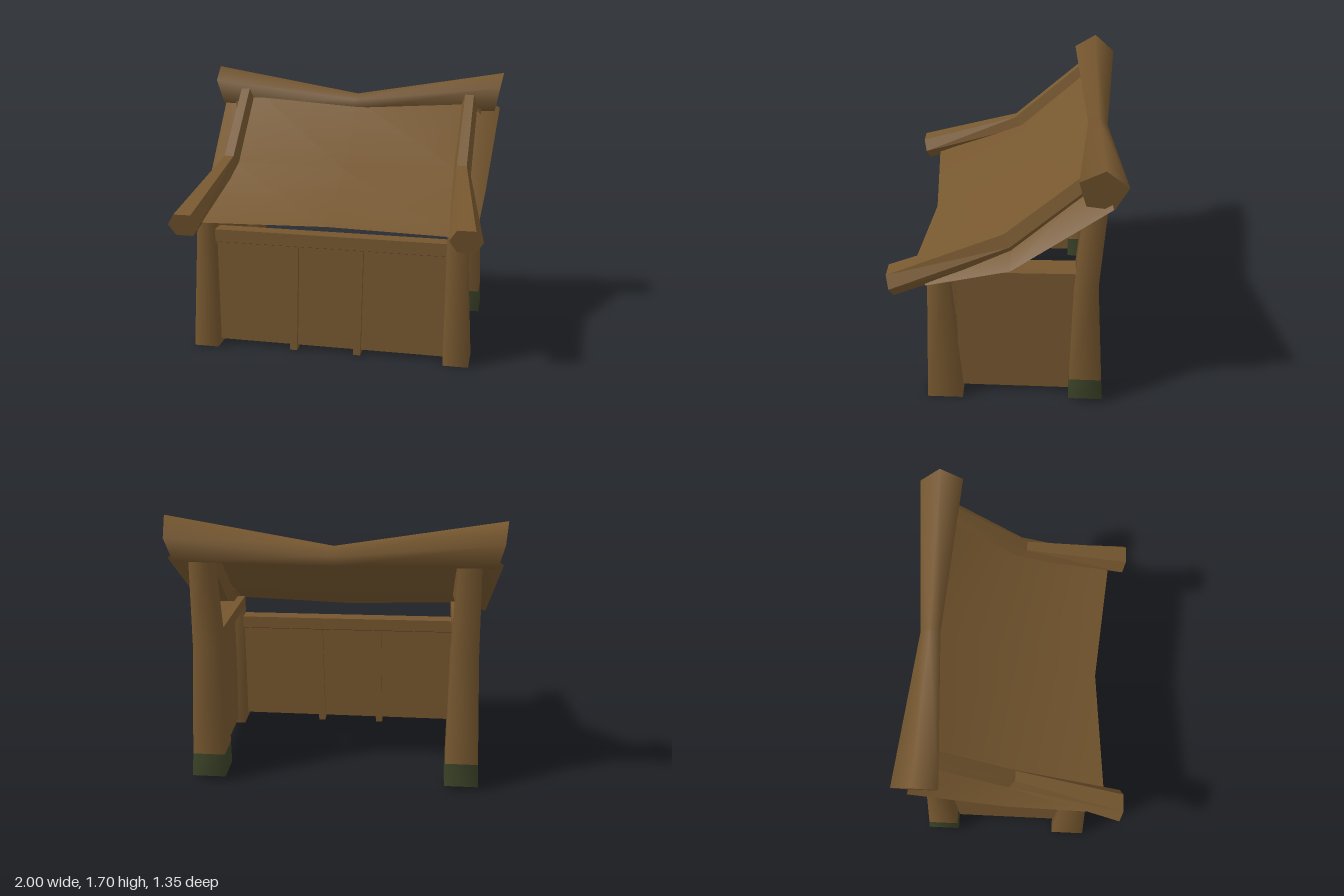
import * as THREE from 'three';

const material = (name, color) => {
  const m = new THREE.MeshStandardMaterial({ color, side: THREE.DoubleSide });
  m.name = name;
  return m;
};

// Skin rows of points; closed rows become tubes, open rows become sheets
function loft(rows, closed, flat) {
  const n = rows[0].length, index = [];
  for (let r = 0; r < rows.length - 1; r++) {
    for (let i = 0; i < (closed ? n : n - 1); i++) {
      const a = r * n + i, b = r * n + (i + 1) % n;
      index.push(a, b, b + n, a, b + n, a + n);
    }
  }
  let g = new THREE.BufferGeometry();
  g.setAttribute('position', new THREE.Float32BufferAttribute(rows.flat(2), 3));
  g.setIndex(index);
  if (flat) g = g.toNonIndexed();
  g.computeVertexNormals();
  return g;
}

// Flat end face of a convex ring
function cap(ring, reverse) {
  const g = new THREE.BufferGeometry(), index = [];
  for (let i = 1; i < ring.length - 1; i++) {
    index.push(...(reverse ? [0, i + 1, i] : [0, i, i + 1]));
  }
  g.setAttribute('position', new THREE.Float32BufferAttribute(ring.flat(), 3));
  g.setIndex(index);
  g.computeVertexNormals();
  return g;
}

// Horizontal four-cornered ring
const ring = (y, x0, x1, z0, z1) => [[x0, y, z0], [x0, y, z1], [x1, y, z1], [x1, y, z0]];
const flip = (s, rows) => rows.map((row) => row.map(([x, y, z]) => [s * x, y, z]));

export function createModel() {
  const model = new THREE.Group();
  const wood = material('brown wood', 0x76572f);
  const moss = material('moss green', 0x3a4227);
  const red = material('dark red', 0x66242f);

  const add = (name, geometry, mat = wood) => {
    const mesh = new THREE.Mesh(geometry, mat);
    mesh.name = name;
    model.add(mesh);
    return mesh;
  };
  const box = (name, w, h, d, x, y, z, mat) => {
    const mesh = add(name, new THREE.BoxGeometry(w, h, d), mat);
    mesh.position.set(x, y, z);
    return mesh;
  };

  for (const s of [-1, 1]) {
    const side = s > 0 ? 'left' : 'right';

    // Tapered front posts, open underneath
    const front = flip(s, [ring(0, 0.73, 0.89, 0.26, 0.48), ring(0.9, 0.735, 0.845, 0.335, 0.45)]);
    add(side + 'FrontPost', loft(front, true));
    add(side + 'FrontPostTop', cap(front[1], s < 0));

    // Tall back posts with a mossy foot
    const foot = ring(0.178, 0.692, 0.894, -0.598, -0.402);
    add(side + 'BackPostFoot', loft(flip(s, [ring(0.03, 0.69, 0.9, -0.61, -0.4), foot]), true), moss);
    add(side + 'BackPost', loft(flip(s, [
      foot,
      ring(0.87, 0.7, 0.87, -0.55, -0.41),
      ring(1.5, 0.735, 0.86, -0.585, -0.455),
    ]), true));

    // Side wall, with a rail whose underside is red
    box(side + 'Wall', 0.02, 0.84, 0.74, s * 0.79, 0.45, -0.08);
    const rail = flip(s, [0.36, -0.43].map((z) => [
      [0.72, 0.86, z], [0.72, z > 0 ? 0.93 : 0.945, z], [0.86, z > 0 ? 0.935 : 0.945, z], [0.86, 0.86, z],
    ]));
    add(side + 'Rail', loft(rail, false, true));
    rail.forEach((r, i) => add(side + 'RailEnd', cap(r, i > 0)));
    add(side + 'RailUnderside', loft(flip(s, [0.36, -0.43].map((z) => [
      [0.72, 0.86, z], [0.79, 0.826, z], [0.86, 0.86, z],
    ])), false, true), red);

    // Bent six-sided rafter: centre, width, height and tilt of each section
    const rafter = flip(s, [
      [0.862, 0.87, 0.66, 0.2, 0.145, 0.25],
      [0.775, 1.1, -0.035, 0.115, 0.16, 0.5],
      [0.782, 1.53, -0.5, 0.105, 0.14, 0.75],
    ].map(([x, y, z, w, h, tilt]) => [[-1, 0], [-0.55, 1], [0.55, 1], [1, 0], [0.55, -1], [-0.55, -1]]
      .map(([u, v]) => [
        x + u * w / 2,
        y + v * h / 2 * Math.cos(tilt),
        z + v * h / 2 * Math.sin(tilt),
      ])));
    add(side + 'Rafter', loft(rafter, true, true));
    add(side + 'RafterEnd', cap(rafter[0], s > 0));
  }

  // Front wall, its rail and two slightly leaning battens
  box('frontWall', 1.5, 0.69, 0.02, 0, 0.375, 0.4);
  box('frontRail', 1.5, 0.08, 0.1, 0, 0.747, 0.4).rotation.z = -0.005;
  box('frontRailUnderside', 1.46, 0.006, 0.09, 0, 0.706, 0.397, red).rotation.z = -0.005;
  for (const x of [-0.227, 0.187]) {
    box('batten', 0.046, 0.715, 0.07, x, 0.358, 0.4).rotation.z = -0.025;
  }

  // Sagging roof sheet, drooping outside the rafters
  const roofRows = [
    [[0.98, 1.455, -0.6], [0.78, 1.58, -0.54], [0, 1.48, -0.54]],
    [[0.93, 1.0, -0.04], [0.76, 1.12, -0.04], [0, 1.1, -0.04]],
    [[0.91, 0.87, 0.45], [0.77, 0.863, 0.56], [0, 0.86, 0.49]],
  ].map((half) => [
    ...half.map(([x, y, z]) => [-x, y, z]),
    ...half.slice(0, 2).reverse(),
  ]);
  add('roofSheet', loft(roofRows, false));

  // Five-sided ridge beam, thin in the middle, with slanted ends
  const pentagon = [[0.135, 0.055], [-0.005, 0.135], [-0.135, 0.025], [-0.065, -0.13], [0.09, -0.11]];
  const beam = [-1, 0, 1].map((s) => pentagon.map(([z, y]) => {
    const k = s ? 1 : 0.45;
    return [s * (1 - (0.135 - y) * 0.2), (s ? 1.565 : 1.473) + y * k, -0.542 + z * k];
  }));
  add('ridgeBeam', loft(beam, true));
  add('ridgeBeamEnd', cap(beam[0], true));
  add('ridgeBeamEnd', cap(beam[2]));

  return model;
}
